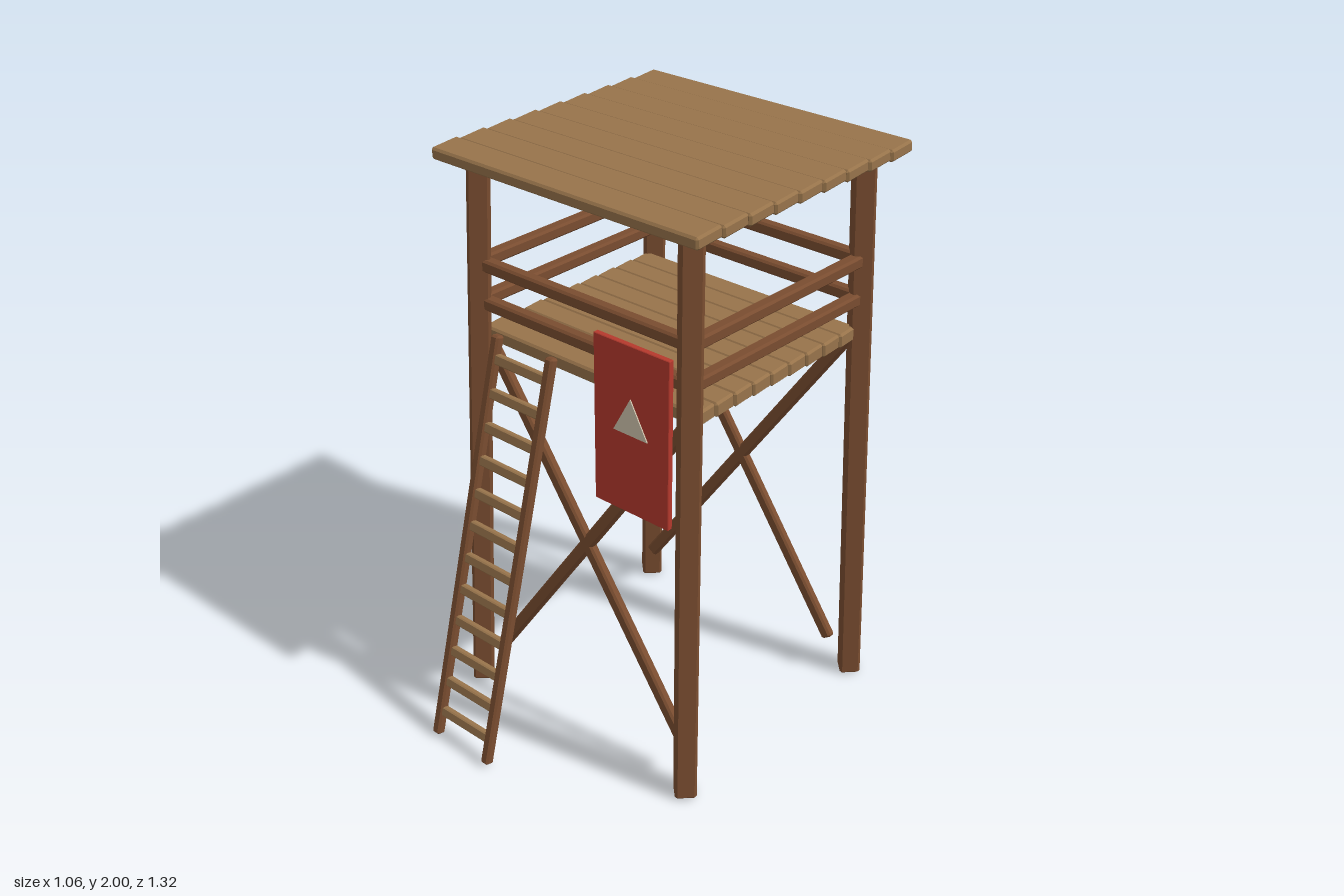
import * as THREE from 'three';
import { ConvexGeometry } from 'three/addons/geometries/ConvexGeometry.js';

const CZ = -0.148; // centre of the tower in z (the ladder reaches forward)

function makeMaterial(name, color) {
  const m = new THREE.MeshStandardMaterial({ color });
  m.name = name;
  return m;
}

// Box with every edge cut by a flat chamfer
function chamferBox(w, h, d, b) {
  const pts = [];
  for (const x of [-1, 1]) for (const y of [-1, 1]) for (const z of [-1, 1]) {
    const X = w / 2, Y = h / 2, Z = d / 2;
    pts.push(
      new THREE.Vector3(x * X, y * (Y - b), z * (Z - b)),
      new THREE.Vector3(x * (X - b), y * Y, z * (Z - b)),
      new THREE.Vector3(x * (X - b), y * (Y - b), z * Z));
  }
  return new ConvexGeometry(pts);
}

export function createModel() {
  const model = new THREE.Group();
  model.name = 'watchtower';
  const darkWood = makeMaterial('dark wood', 0x7a4d30);
  const plankWood = makeMaterial('plank wood', 0x98744b);
  const red = makeMaterial('sign red', 0xb5392d);
  const cream = makeMaterial('sign cream', 0xcfc4ad);

  function box(name, mat, w, h, d, x, y, z, bevel = 0.007) {
    const mesh = new THREE.Mesh(chamferBox(w, h, d, bevel), mat);
    mesh.name = name;
    mesh.position.set(x, y, z);
    model.add(mesh);
    return mesh;
  }

  // Beam between two points; leaning posts turn their edges along the lean
  function beam(name, mat, a, b, w, h, bevel = 0.007) {
    const from = new THREE.Vector3(...a), to = new THREE.Vector3(...b);
    const mid = from.clone().add(to).multiplyScalar(0.5);
    const mesh = box(name, mat, w, h, from.distanceTo(to), mid.x, mid.y, mid.z, bevel);
    mesh.lookAt(to);
    return mesh;
  }

  // Four legs leaning inwards
  for (const sx of [-1, 1]) for (const sz of [-1, 1]) {
    beam('leg', darkWood,
      [sx * 0.477, 0.003, CZ + sz * 0.454],
      [sx * 0.427, 1.965, CZ + sz * 0.406], 0.072, 0.072, 0.008);
  }

  // Roof and floor of nine slightly tilted planks each
  for (let i = 0; i < 9; i++) {
    const k = i - 4;
    const roof = box('roofPlank', plankWood, 1.06, 0.04, 0.109, 0, 1.975, -0.152 + k * 0.1135);
    roof.rotation.x = 0.08;
    const floor = box('floorPlank', plankWood, 0.9, 0.05, 0.084, 0, 1.36, CZ + k * 0.088);
    floor.rotation.x = 0.07;
  }

  // Two guard rails on each side
  for (const y of [1.48, 1.612]) for (const s of [-1, 1]) {
    box('sideRail', darkWood, 0.042, 0.042, 0.79, s * 0.439, y, CZ);
    box('crossRail', darkWood, 0.85, 0.042, 0.042, 0, y, CZ + s * 0.412);
  }

  // Crossed braces at front and back
  for (const sz of [-1, 1]) for (const sx of [-1, 1]) {
    const z = CZ + sz * 0.396;
    beam('brace', darkWood, [sx * 0.42, 0.145, z], [-sx * 0.42, 1.34, z], 0.032, 0.044);
  }

  // Leaning ladder with twelve rungs
  const ladderZ = (y) => 0.645 - (y - 0.015) * 0.26;
  for (const x of [-0.345, -0.106]) {
    beam('ladderRail', darkWood, [x, 0.012, ladderZ(0.012)], [x, 1.395, ladderZ(1.395)], 0.034, 0.034);
  }
  for (let i = 0; i < 12; i++) {
    const y = 0.1 + i * 0.111;
    const rung = box('ladderRung', plankWood, 0.22, 0.034, 0.025, -0.2255, y, ladderZ(y), 0.004);
    rung.rotation.x = -0.254;
  }

  // Red sign board with a cream triangle
  box('signBoard', red, 0.3, 0.573, 0.02, 0.245, 1.272, 0.3, 0.002);
  const shape = new THREE.Shape([
    new THREE.Vector2(-0.068, -0.06),
    new THREE.Vector2(0.068, -0.06),
    new THREE.Vector2(0, 0.062)]);
  const triangle = new THREE.Mesh(
    new THREE.ExtrudeGeometry(shape, { depth: 0.005, bevelEnabled: false }), cream);
  triangle.name = 'signTriangle';
  triangle.position.set(0.245, 1.322, 0.309);
  model.add(triangle);

  return model;
}
